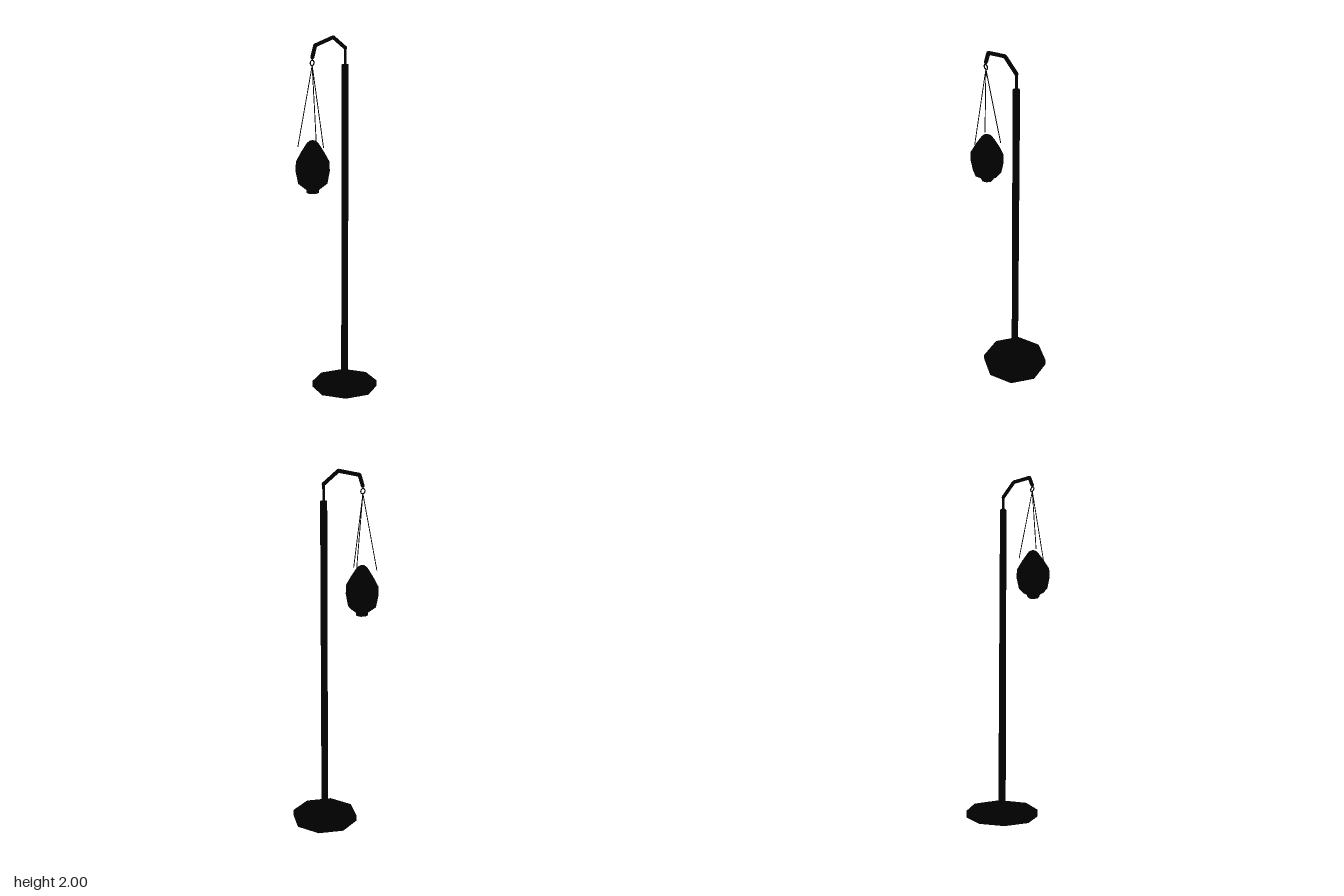
import * as THREE from 'three';

const UP = new THREE.Vector3(0, 1, 0);

export function createModel() {
  const model = new THREE.Group();
  const blackIron = new THREE.MeshStandardMaterial({ color: 0x000000 });
  blackIron.name = 'blackIron';

  const add = (name, geometry, x = 0, y = 0, z = 0) => {
    const mesh = new THREE.Mesh(geometry, blackIron);
    mesh.name = name;
    mesh.position.set(x, y, z);
    model.add(mesh);
    return mesh;
  };

  // Straight rod between two points
  const rod = (name, a, b, radius, sides = 8) => {
    const from = new THREE.Vector3(...a);
    const dir = new THREE.Vector3(...b).sub(from);
    const length = dir.length();
    const mid = from.clone().addScaledVector(dir, 0.5);
    const mesh = add(name, new THREE.CylinderGeometry(radius, radius, length, sides), mid.x, mid.y, mid.z);
    mesh.quaternion.setFromUnitVectors(UP, dir.normalize());
  };

  const poleX = 0.079;
  const hangX = -0.173;

  // Octagonal base, pole and thin neck
  add('base', new THREE.CylinderGeometry(0.184, 0.184, 0.034, 8), poleX, 0.017, 0);
  add('pole', new THREE.CylinderGeometry(0.019, 0.019, 1.81, 8), poleX, 0.935, 0);
  add('neck', new THREE.CylinderGeometry(0.007, 0.007, 0.1, 8), poleX, 1.882, 0);

  // Bent arm with rounded elbows
  const arm = [[poleX, 1.928, 0], [-0.014, 1.988, 0], [-0.15, 1.953, 0], [-0.172, 1.892, 0]];
  arm.forEach((p, i) => {
    add('armElbow', new THREE.SphereGeometry(0.0102, 8, 6), ...p);
    if (i) rod('armSegment', arm[i - 1], p, 0.0105);
  });

  // Hanging ring
  add('ring', new THREE.TorusGeometry(0.0145, 0.0035, 6, 8), hangX, 1.864, 0);

  // Three wires spreading evenly from the ring
  for (let i = 0; i < 3; i++) {
    const angle = (i * Math.PI * 2) / 3;
    const end = [hangX + 0.08 * Math.sin(angle), 1.428, 0.08 * Math.cos(angle)];
    rod('wire', [hangX, 1.85, 0], end, 0.0025, 5);
  }

  // Hanging pot, eight-sided teardrop
  const profile = [
    [0, 1.187], [0.035, 1.192], [0.078, 1.225], [0.091, 1.293], [0.089, 1.345],
    [0.06, 1.398], [0.03, 1.445], [0.014, 1.457], [0, 1.459],
  ].map(([r, y]) => new THREE.Vector2(r, y));
  add('pot', new THREE.LatheGeometry(profile, 8), hangX, 0, 0);
  add('potFoot', new THREE.CylinderGeometry(0.034, 0.034, 0.032, 8), hangX, 1.192, 0);

  return model;
}
